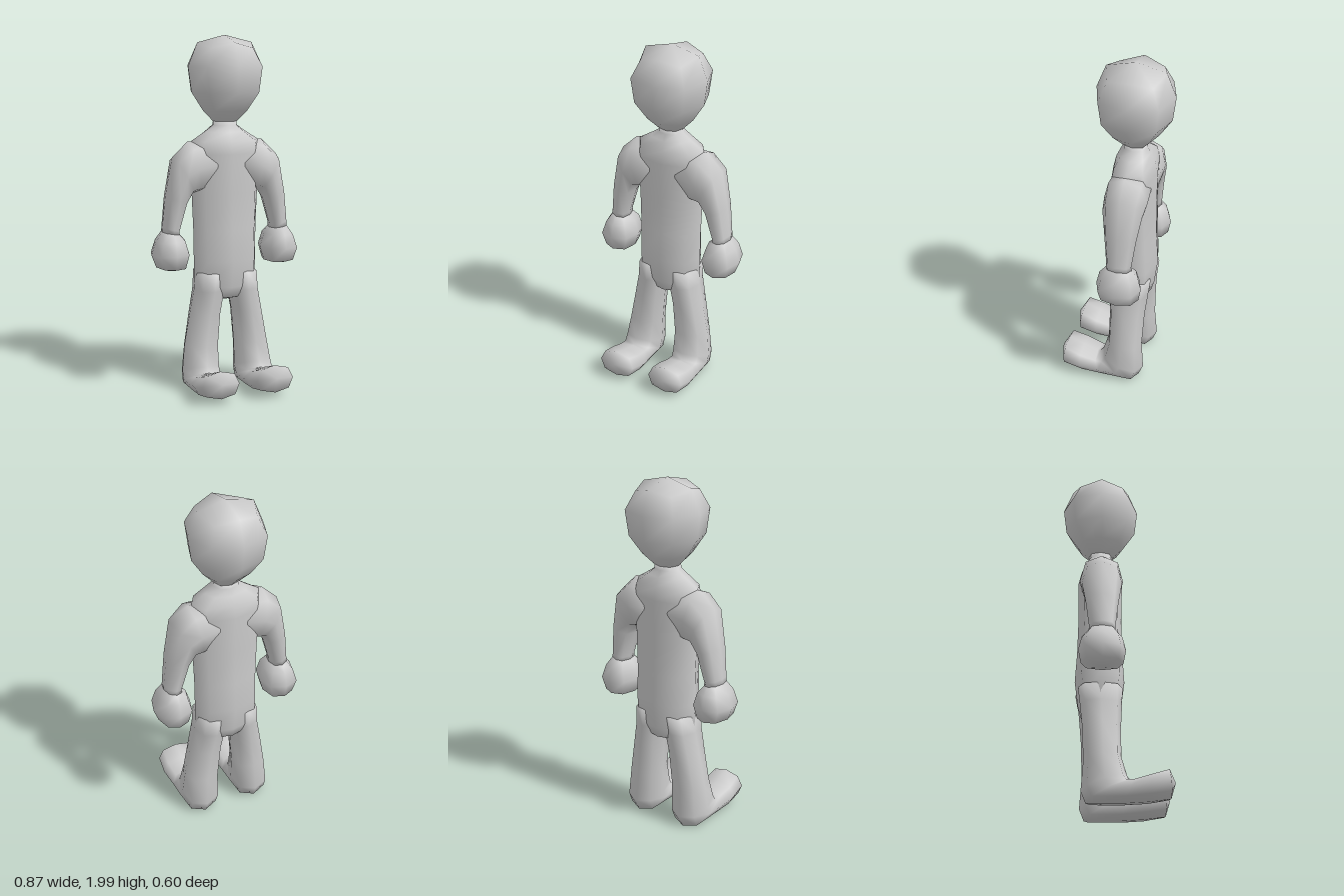
import * as THREE from 'three';

const SIDES = 8;
const Z0 = -0.09; // depth of the body's centre line
const V = (x, y, z) => new THREE.Vector3(x, y, z);

// Rounded octagonal ring spanning from edge point a to edge point b, with half-width vector w
function ring(a, b, w) {
  const c = a.clone().add(b).multiplyScalar(0.5);
  const u = a.clone().sub(c);
  return Array.from({ length: SIDES }, (_, i) => {
    const t = (i / SIDES) * Math.PI * 2;
    const k = i % 2 ? 1.06 : 1;
    return c.clone().addScaledVector(u, Math.cos(t) * k).addScaledVector(w, Math.sin(t) * k);
  });
}

// Smooth skin over a row of rings, closed by a tip point at each end
function loft(name, start, rings, end, material) {
  const points = [start, ...rings.flat(), end];
  const last = points.length - 1;
  const index = [];
  for (let i = 0; i < SIDES; i++) {
    const j = (i + 1) % SIDES;
    index.push(0, 1 + j, 1 + i);
    for (let r = 0; r < rings.length - 1; r++) {
      const p = 1 + r * SIDES, q = p + SIDES;
      index.push(p + i, p + j, q + j, p + i, q + j, q + i);
    }
    const e = 1 + (rings.length - 1) * SIDES;
    index.push(e + i, e + j, last);
  }
  // Signed volume tells whether the faces point outward
  let volume = 0;
  for (let i = 0; i < index.length; i += 3) {
    const [a, b, c] = [0, 1, 2].map((k) => points[index[i + k]]);
    volume += a.dot(b.clone().cross(c));
  }
  if (volume < 0) index.reverse();
  const geometry = new THREE.BufferGeometry().setFromPoints(points);
  geometry.setIndex(index);
  geometry.computeVertexNormals();
  const mesh = new THREE.Mesh(geometry, material);
  mesh.name = name;
  return mesh;
}

// Horizontal ring: height, half-width, half-depth
const level = ([y, rx, rz]) => ring(V(rx, y, Z0), V(-rx, y, Z0), V(0, 0, rz));

export function createModel() {
  const model = new THREE.Group();
  model.name = 'figure';
  const grey = new THREE.MeshStandardMaterial({ color: 0xcccccc });

  // Head: faceted ball tapering to the neck, with lowered corners on the crown
  const headRings = [
    [1.96, 0.16, 0.162], [1.83, 0.214, 0.214], [1.69, 0.195, 0.197],
    [1.59, 0.13, 0.13], [1.53, 0.072, 0.07],
  ].map(level);
  headRings[0].forEach((p, i) => { if (i % 2) p.y -= 0.03; });
  model.add(loft('head', V(0, 2, Z0), headRings, V(0, 1.48, Z0), grey));

  // Torso: neck, sloping shoulders, chest and hips
  const torsoRings = [
    [1.53, 0.068, 0.066], [1.505, 0.07, 0.067], [1.47, 0.12, 0.085], [1.42, 0.2, 0.108],
    [1.35, 0.21, 0.124], [1.13, 0.197, 0.12], [0.92, 0.188, 0.125],
    [0.75, 0.186, 0.136], [0.6, 0.184, 0.117], [0.54, 0.12, 0.1],
  ].map(level);
  model.add(loft('torso', V(0, 1.55, Z0), torsoRings, V(0, 0.51, Z0), grey));

  for (const s of [1, -1]) {
    const side = s > 0 ? 'left' : 'right';

    // Arm and hand: outer x, y, inner x, y, half-depth
    const armRing = ([ax, ay, bx, by, rz]) =>
      ring(V(s * ax, ay, Z0), V(s * bx, by, Z0), V(0, 0, rz));
    const arm = [
      [0.08, 1.42, 0.08, 1.16, 0.11], [0.22, 1.42, 0.16, 1.13, 0.119],
      [0.31, 1.335, 0.198, 1.13, 0.11], [0.352, 1.12, 0.232, 1.08, 0.089],
      [0.37, 0.95, 0.276, 0.925, 0.07], [0.372, 0.92, 0.274, 0.905, 0.072],
    ].map(armRing);
    model.add(loft(side + 'Arm', V(s * 0.03, 1.3, Z0), arm, V(s * 0.325, 0.86, Z0), grey));
    const hand = [
      [0.37, 0.925, 0.276, 0.91, 0.07], [0.408, 0.87, 0.242, 0.875, 0.108],
      [0.435, 0.795, 0.217, 0.8, 0.126], [0.408, 0.725, 0.242, 0.72, 0.112],
    ].map(armRing);
    model.add(loft(side + 'Hand', V(s * 0.325, 0.95, Z0), hand, V(s * 0.328, 0.697, Z0), grey));

    // Leg bending into the foot: centre x, front z, y, back z, y, half-width
    const leg = [
      [0.095, 0.03, 0.68, -0.21, 0.68, 0.085], [0.102, 0.027, 0.58, -0.198, 0.58, 0.086],
      [0.126, 0.02, 0.45, -0.186, 0.45, 0.088], [0.15, 0.02, 0.27, -0.178, 0.25, 0.1],
      [0.158, 0.05, 0.165, -0.19, 0.08, 0.107], [0.16, 0.07, 0.135, -0.165, 0.015, 0.106],
      [0.16, 0.085, 0.137, 0.03, 0.018, 0.108], [0.16, 0.17, 0.165, 0.16, 0.028, 0.12],
      [0.16, 0.26, 0.197, 0.275, 0.045, 0.108],
    ].map(([cx, az, ay, bz, by, rx]) =>
      ring(V(s * cx, ay, az), V(s * cx, by, bz), V(rx, 0, 0)));
    model.add(loft(side + 'LegAndFoot', V(s * 0.095, 0.72, Z0), leg, V(s * 0.16, 0.13, 0.3), grey));
  }

  // Stand on the ground
  model.position.y = -new THREE.Box3().setFromObject(model).min.y;
  return model;
}
